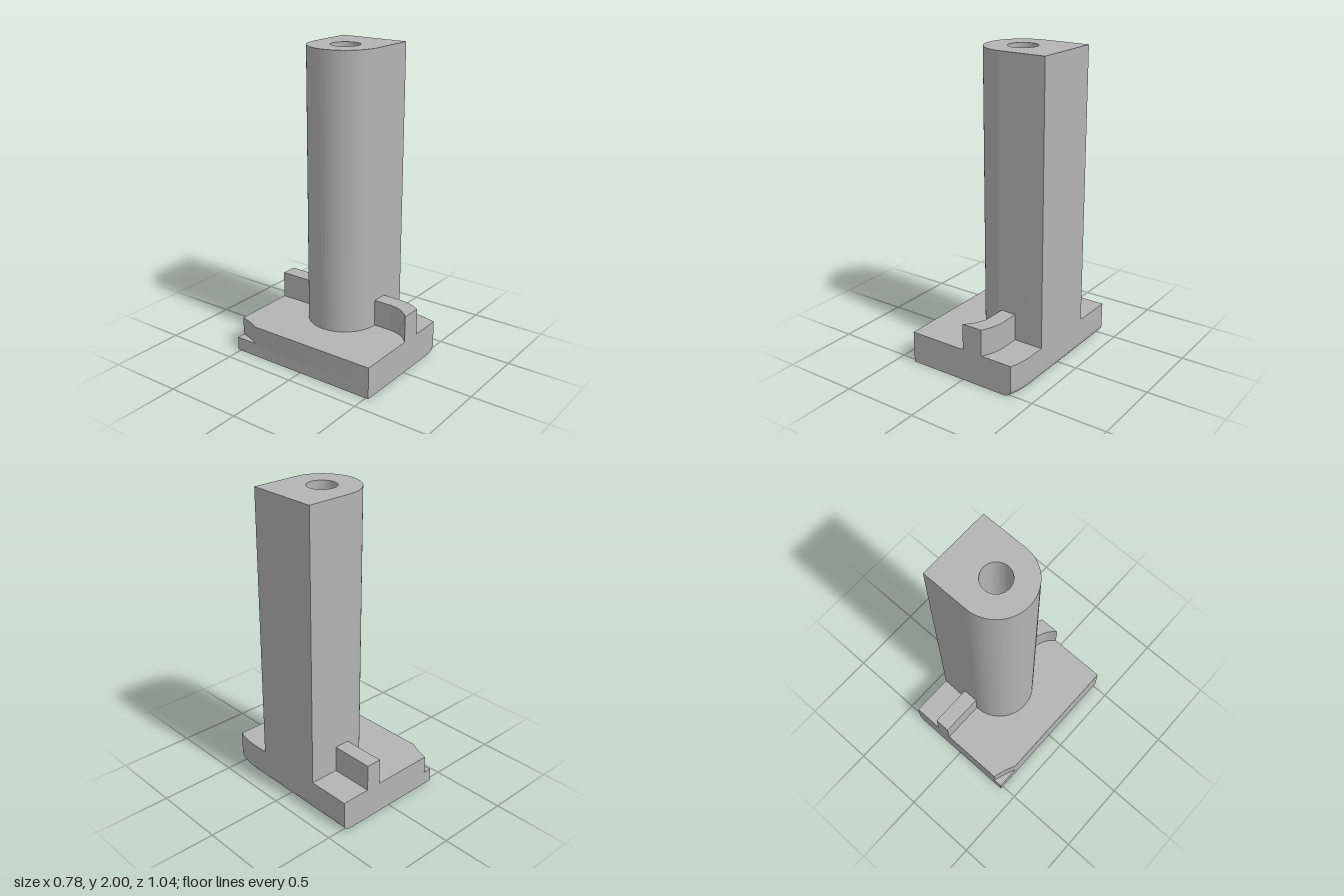
import * as THREE from 'three';
import { toCreasedNormals } from 'three/addons/utils/BufferGeometryUtils.js';

const W = 0.39, D = 0.52;            // half width and half depth of the base
const TOP = 0.21, LEDGE = 0.09;      // base height, notch floor height
const CX = -0.12, CZ = 0.35;         // shared centre of the front bends
const FILLET = 0.05;
const CREASE = 0.5;

// x on a bend of radius CX -> x0 at depth z: straight, then curving inwards
const bendX = (x0, z) => {
  const r = x0 - CX, dz = Math.max(0, z - CZ);
  return CX + Math.sqrt(r * r - dz * dz);
};
const steps = (n, f) => Array.from({ length: n + 1 }, (_, i) => f(i / n));

// Base outline seen from above, with the right side inset and the corner notched or full
function outline(inset, notched) {
  const a = new THREE.Vector2(-0.333, -D), b = new THREE.Vector2(-W, -0.37);
  const corner = new THREE.Vector2(-W, -D);
  const curve = new THREE.QuadraticBezierCurve(a, new THREE.Vector2(-0.351, -0.441), b);
  const notch = steps(12, t => notched ? curve.getPoint(t)
    : t <= 0.5 ? a.clone().lerp(corner, t * 2) : corner.clone().lerp(b, t * 2 - 1));
  const bend = steps(12, t => {
    const z = D + (CZ - D) * t;
    return new THREE.Vector2(bendX(W - inset, z), z);
  });
  return [...notch, new THREE.Vector2(-W, D), ...bend, new THREE.Vector2(W - inset, -D)];
}

// Base: outlines stacked from the filleted bottom edge to the notched top
function baseGeometry() {
  const layers = steps(8, t => {
    const a = t * Math.PI / 2;
    return { y: FILLET * (1 - Math.cos(a)), pts: outline(FILLET * (1 - Math.sin(a)), false) };
  });
  layers.push({ y: LEDGE, pts: outline(0, false) },
    { y: LEDGE, pts: outline(0, true) }, { y: TOP, pts: outline(0, true) });
  const pos = [];
  const put = (layer, i) => pos.push(layer.pts[i].x, layer.y, layer.pts[i].y);
  for (let k = 0; k < layers.length - 1; k++) {
    const lo = layers[k], hi = layers[k + 1], n = lo.pts.length;
    for (let i = 0; i < n; i++) {
      const j = (i + 1) % n;
      put(lo, i); put(lo, j); put(hi, j);
      put(lo, i); put(hi, j); put(hi, i);
    }
  }
  const cap = (layer, up) => {
    const flat = layer.pts.map(p => new THREE.Vector2(p.x, -p.y));
    for (const f of THREE.ShapeUtils.triangulateShape(flat, []))
      (up ? f : [f[0], f[2], f[1]]).forEach(i => put(layer, i));
  };
  cap(layers[0], false);
  cap(layers[layers.length - 1], true);
  const g = new THREE.BufferGeometry();
  g.setAttribute('position', new THREE.Float32BufferAttribute(pos, 3));
  return toCreasedNormals(g, CREASE);
}

// Extrude a plan shape (x, -z) upwards from the top of the base
function upright(shape, height) {
  const g = new THREE.ExtrudeGeometry(shape, { depth: height, bevelEnabled: false, curveSegments: 40 });
  g.rotateX(-Math.PI / 2);
  g.translate(0, TOP, 0);
  return toCreasedNormals(g, CREASE);
}

export function createModel() {
  const group = new THREE.Group();
  const grey = new THREE.MeshStandardMaterial({ color: 0xb4b4b4 });
  grey.name = 'plain grey';
  const add = (name, geometry) => {
    const mesh = new THREE.Mesh(geometry, grey);
    mesh.name = name;
    group.add(mesh);
  };

  add('base', baseGeometry());

  // Column with one round side and a bore
  const R = 0.235, px = 0.086;
  const column = new THREE.Shape();
  column.moveTo(W, -R);
  column.lineTo(W, R);
  column.lineTo(px, R);
  column.absarc(px, 0, R, Math.PI / 2, Math.PI * 1.5, false);
  column.closePath();
  column.holes.push(new THREE.Path().absarc(px, 0, 0.092, 0, Math.PI * 2, true));
  add('column', upright(column, 2 - TOP));

  // Ribs before and behind the column; the front one bends sideways
  const rib = (z0, z1) => {
    const side = x => steps(16, t => {
      const z = z0 + (z1 - z0) * t;
      return new THREE.Vector2(bendX(x, z), -z);
    });
    return upright(new THREE.Shape([...side(0.091), ...side(0.194).reverse()]), 0.385 - TOP);
  };
  add('frontRib', rib(R - 0.005, D));
  add('backRib', rib(-D, -R + 0.005));

  return group;
}
